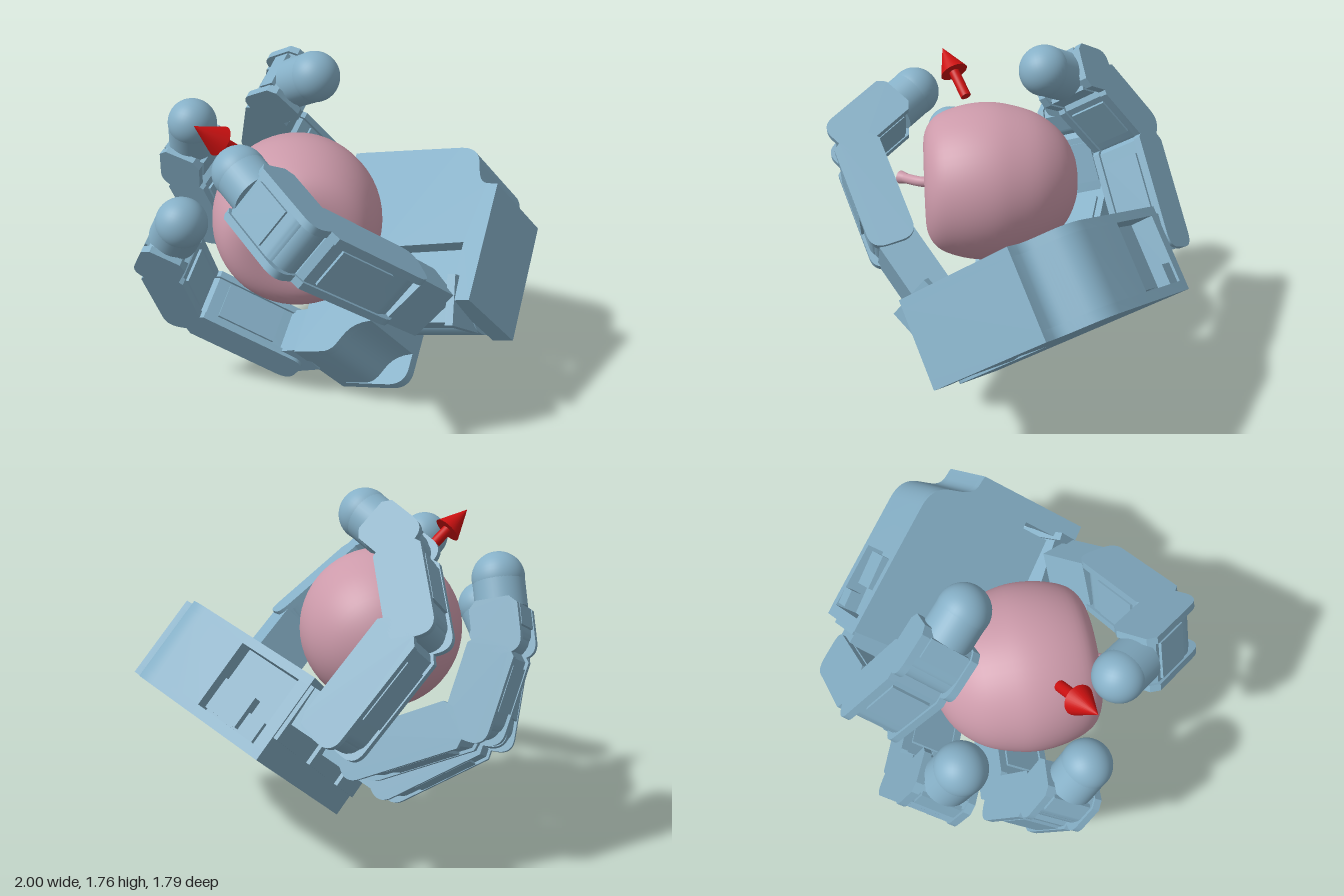
import * as THREE from 'three';
import { toCreasedNormals } from 'three/addons/utils/BufferGeometryUtils.js';

const V = (x, y, z) => new THREE.Vector3(x, y, z);
const blue = new THREE.MeshStandardMaterial({ color: 0x86b0c7 });
const pink = new THREE.MeshStandardMaterial({ color: 0xcc9aaa });
const red = new THREE.MeshStandardMaterial({ color: 0xcc1010 });

// Palm frame: wrist corner, across the knuckles, towards the fingers, out of the palm
const origin = V(0.813, 0.485, 0.41);
const W = V(-0.58, 0.74, 0.33).normalize();
const A = V(0.283, 0.6, -0.748).addScaledVector(W, -0.033).normalize();
const U = W.clone().cross(A).normalize();
const at = (a, u, w) => origin.clone().addScaledVector(A, a).addScaledVector(U, u).addScaledVector(W, w);

function mesh(name, geo, mat, parent) {
  const m = new THREE.Mesh(geo, mat);
  m.name = name;
  parent.add(m);
  return m;
}

function box(name, parent, sx, sy, sz, x, y, z) {
  const m = mesh(name, new THREE.BoxGeometry(sx, sy, sz), blue, parent);
  m.position.set(x, y, z);
  return m;
}

function extrude(shape, depth) {
  const geo = new THREE.ExtrudeGeometry(shape, { depth, bevelEnabled: false, curveSegments: 10 });
  return toCreasedNormals(geo, 0.6);
}

function rod(name, p, q, r0, r1, mat, parent) {
  const d = q.clone().sub(p);
  const m = mesh(name, new THREE.CylinderGeometry(r1, r0, d.length(), 32), mat, parent);
  m.position.copy(p).addScaledVector(d, 0.5);
  m.quaternion.setFromUnitVectors(V(0, 1, 0), d.normalize());
  return m;
}

// Group with local x along p->q, y towards the pad side, z along the hinge
function boneFrame(name, p, q, hinge, parent) {
  const x = q.clone().sub(p).normalize();
  const y = hinge.clone().cross(x).normalize();
  const g = new THREE.Group();
  g.name = name;
  g.setRotationFromMatrix(new THREE.Matrix4().makeBasis(x, y, x.clone().cross(y)));
  g.position.copy(p);
  parent.add(g);
  return g;
}

// Side outline of a finger segment: rounded at the near joint, chamfered at the far end
function segmentShape(x0, x1, h, c) {
  const s = new THREE.Shape();
  s.moveTo(x0 + h * 0.7, -h);
  s.lineTo(x1 - c, -h);
  s.lineTo(x1, -h + c);
  s.lineTo(x1, h - c);
  s.lineTo(x1 - c, h);
  s.lineTo(x0 + h * 0.7, h);
  s.quadraticCurveTo(x0, h, x0, h * 0.3);
  s.lineTo(x0, -h * 0.3);
  s.quadraticCurveTo(x0, -h, x0 + h * 0.7, -h);
  return s;
}

// One segment: two side plates, a narrower body with a raised cover, a hinge barrel
function segment(name, p, q, hinge, parent, x1) {
  const g = boneFrame(name, p, q, hinge, parent);
  for (const s of [-1, 1]) {
    const plate = mesh('sidePlate', extrude(segmentShape(-0.095, x1, 0.112, 0.035), 0.035), blue, g);
    plate.position.z = s * 0.1255 - 0.0175;
  }
  const body = mesh('body', extrude(segmentShape(-0.04, x1 - 0.01, 0.097, 0.03), 0.22), blue, g);
  body.position.z = -0.11;
  box('cover', g, x1 * 0.6, 0.222, 0.19, x1 * 0.5, 0, 0);
  const barrel = mesh('hingeBarrel', new THREE.CylinderGeometry(0.085, 0.085, 0.26, 24), blue, g);
  barrel.rotation.x = Math.PI / 2;
  return g;
}

// Last segment with a domed rubber tip
function fingertip(p, tip, hinge, parent) {
  const L = p.distanceTo(tip);
  const g = segment('distalSegment', p, tip, hinge, parent, L - 0.12);
  const neck = mesh('tipNeck', new THREE.CylinderGeometry(0.12, 0.12, 0.15, 40), blue, g);
  neck.rotation.z = Math.PI / 2;
  neck.position.x = L - 0.075;
  mesh('tipDome', new THREE.SphereGeometry(0.122, 40, 24), blue, g).position.x = L;
}

// Finger solved from its knuckle position, splay, tip and first bend angle
function finger(name, a, splay, tip, bend, parent) {
  const g = new THREE.Group();
  g.name = name;
  parent.add(g);
  const L1 = 0.564, L2 = 0.401, L3 = 0.279;
  const u = U.clone().addScaledVector(A, splay).normalize();
  const base = at(a, 0.965, 0.317);
  const j1 = base.clone().addScaledVector(u, 0.171);
  const d = tip.clone().sub(j1);
  const du = d.dot(u);
  const b = d.clone().addScaledVector(u, -du);
  const db = b.length();
  b.normalize();
  const n = u.clone().cross(b);
  const step = (p, t, l) => p.clone().addScaledVector(u, Math.cos(t) * l).addScaledVector(b, Math.sin(t) * l);
  const t1 = THREE.MathUtils.degToRad(bend);
  const ru = du - L1 * Math.cos(t1), rb = db - L1 * Math.sin(t1);
  const r = Math.min(Math.hypot(ru, rb), L2 + L3);
  const phi = Math.acos((r * r - L2 * L2 - L3 * L3) / (2 * L2 * L3));
  const t2 = Math.atan2(rb, ru) - Math.asin(L3 * Math.sin(phi) / r);
  const j2 = step(j1, t1, L1), j3 = step(j2, t2, L2);
  const k = boneFrame('knuckle', base, j1, n, g);
  box('knuckleBlock', k, 0.15, 0.19, 0.25, 0.06, 0, 0);
  segment('proximalSegment', j1, j2, n, g, L1 - 0.05);
  segment('middleSegment', j2, j3, n, g, L2 - 0.04);
  fingertip(j3, tip, n, g);
}

// Palm outline in (across, towards fingers) with the thumb bay;
// the upper layers are cut back beside the bay, the core has a side pocket
function palmShape(cut, pocket) {
  const s = new THREE.Shape();
  s.moveTo(0, 0);
  s.lineTo(0.626, 0);
  s.lineTo(0.635, 0.06);
  s.bezierCurveTo(0.65, 0.11, 0.69, 0.115, 0.76, 0.135);
  s.bezierCurveTo(0.82, 0.15, 0.86, 0.19, 0.868, 0.27);
  s.lineTo(0.89, 0.55);
  if (pocket) for (const p of [[0.8, 0.55], [0.8, 0.9]]) s.lineTo(...p);
  s.lineTo(0.917, 0.9);
  s.lineTo(0.92, 0.96);
  s.lineTo(-0.27, 0.96);
  if (cut) {
    s.lineTo(-0.265, 0.77);
    s.bezierCurveTo(-0.25, 0.66, -0.12, 0.72, -0.1, 0.53);
  } else {
    s.lineTo(-0.27, 0.64);
    s.quadraticCurveTo(-0.27, 0.53, -0.18, 0.53);
  }
  for (const p of [[0.31, 0.53], [0.31, 0.11], [0, 0.11]]) s.lineTo(...p);
  s.closePath();
  return s;
}

export function createModel() {
  const model = new THREE.Group();
  const hand = new THREE.Group();
  hand.name = 'hand';
  model.add(hand);

  // Palm
  const palm = new THREE.Group();
  palm.name = 'palm';
  palm.setRotationFromMatrix(new THREE.Matrix4().makeBasis(A, U, W));
  palm.position.copy(origin);
  hand.add(palm);
  const layers = [['backPlate', 0, 0.05, false, false], ['palmCore', 0.05, 0.34, true, true], ['palmPlate', 0.39, 0.045, true, false]];
  for (const [name, z, h, cut, pocket] of layers)
    mesh(name, extrude(palmShape(cut, pocket), h), blue, palm).position.z = z;
  box('pocketStep', palm, 0.06, 0.18, 0.16, 0.83, 0.66, 0.14);
  box('pocketConnector', palm, 0.06, 0.09, 0.1, 0.88, 0.84, 0.1);
  box('bayCover', palm, 0.2, 0.36, 0.08, 0.2, 0.32, 0.34);
  for (const a of [-0.12, 0.325, 0.77]) box('fingerMount', palm, 0.28, 0.03, 0.28, a, 0.965, 0.26);

  // Three fingers
  finger('firstFinger', -0.145, -0.087, V(-0.75, 1.09, 0.28), 59, hand);
  finger('secondFinger', 0.31, 0, V(-0.73, 1.36, -0.29), 48, hand);
  finger('thirdFinger', 0.765, 0.087, V(-0.12, 1.635, -0.165), 84, hand);

  // Thumb: motor in the palm bay, swinging bracket, two segments
  const thumb = new THREE.Group();
  thumb.name = 'thumb';
  hand.add(thumb);
  rod('thumbMotor', at(0.108, 0.11, 0.127), at(0.108, 0.53, 0.127), 0.125, 0.125, blue, thumb);
  const t0 = at(0.108, 0.3, 0.127), t1 = at(-0.02, 0.24, 0.5);
  const t2 = V(0.18, 0.93, 0.6), t3 = V(-0.22, 1.245, 0.77), tip = V(-0.46, 1.42, 0.46);
  const hinge = t3.clone().sub(t2).cross(tip.clone().sub(t3)).normalize();
  const bracket = boneFrame('thumbBracket', t0, t1, U, thumb);
  box('bracketBlock', bracket, 0.3, 0.2, 0.34, 0.16, 0, 0);
  box('bracketPlate', bracket, 0.34, 0.24, 0.04, 0.19, 0, -0.15);
  const root = boneFrame('thumbKnuckle', t1, t2, hinge, thumb);
  box('knuckleBlock', root, 0.29, 0.19, 0.27, 0.07, 0, 0);
  segment('proximalSegment', t2, t3, hinge, thumb, t2.distanceTo(t3) - 0.05);
  fingertip(t3, tip, hinge, thumb);

  // Fruit held in the hand, with its stalk
  const fruit = new THREE.Group();
  fruit.name = 'fruit';
  model.add(fruit);
  const pts = [[0, -0.35], [0.12, -0.335], [0.24, -0.27], [0.335, -0.15], [0.385, 0], [0.398, 0.12], [0.38, 0.25],
    [0.335, 0.36], [0.26, 0.415], [0.16, 0.425], [0.08, 0.4], [0, 0.36]].map(p => new THREE.Vector2(...p));
  const profile = new THREE.SplineCurve(pts).getPoints(48);
  profile.forEach(p => { p.x = Math.max(0, p.x); });
  const flesh = mesh('fruitBody', new THREE.LatheGeometry(profile, 56), pink, fruit);
  flesh.rotation.x = Math.PI / 2;
  flesh.scale.x = 1.025;
  flesh.position.set(-0.215, 1.02, 0);
  const stalk = new THREE.CatmullRomCurve3([V(-0.215, 1.02, 0.34), V(-0.23, 1.02, 0.44), V(-0.31, 1.01, 0.54)]);
  mesh('stalk', new THREE.TubeGeometry(stalk, 16, 0.026, 16), pink, fruit);
  rod('stalkEnd', V(-0.295, 1.012, 0.52), V(-0.32, 1.008, 0.55), 0.026, 0.034, pink, fruit);

  // Arrow pointing away from the fruit
  const arrow = new THREE.Group();
  arrow.name = 'arrow';
  model.add(arrow);
  rod('arrowShaft', V(-0.45, 1.39, 0.2), V(-0.565, 1.495, 0.26), 0.027, 0.027, red, arrow);
  rod('arrowHead', V(-0.555, 1.485, 0.255), V(-0.66, 1.58, 0.31), 0.072, 0, red, arrow);
  return model;
}
